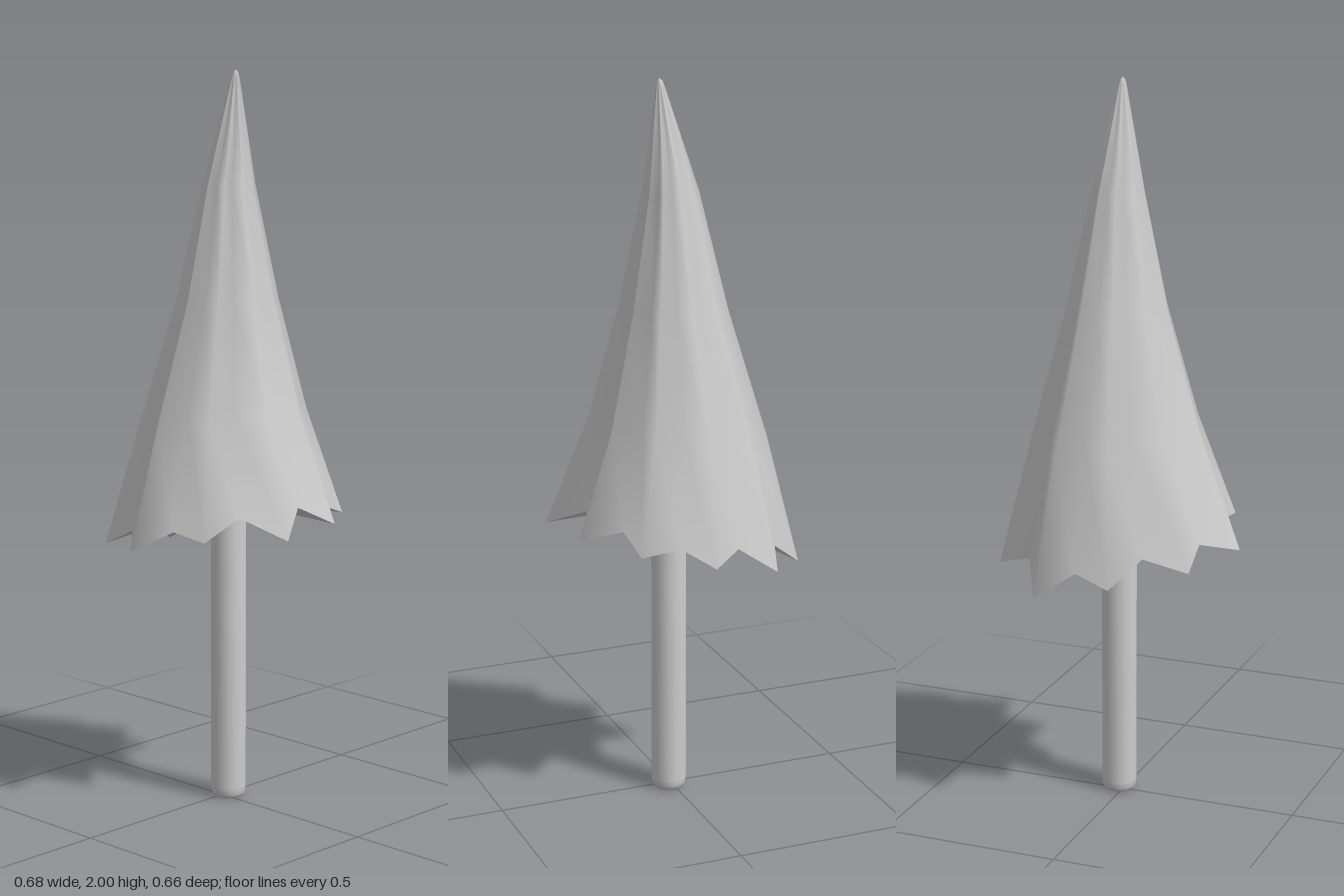
import * as THREE from 'three';

const material = new THREE.MeshStandardMaterial({ color: 0xcccccc });

// Hem of the foliage: ten points alternating with ten notches, as [x, y, z]
const HEM = [
  [0.34, 0.755, 0.005], [0.265, 0.795, 0.075], [0.277, 0.79, 0.192], [0.17, 0.83, 0.202],
  [0.117, 0.80, 0.307], [0.03, 0.85, 0.253], [-0.09, 0.79, 0.328], [-0.14, 0.84, 0.2],
  [-0.26, 0.79, 0.188], [-0.254, 0.80, 0.068], [-0.34, 0.75, -0.005], [-0.254, 0.78, -0.088],
  [-0.26, 0.73, -0.187], [-0.14, 0.765, -0.216], [-0.08, 0.70, -0.312], [0.024, 0.725, -0.283],
  [0.125, 0.66, -0.33], [0.177, 0.735, -0.235], [0.281, 0.70, -0.197], [0.267, 0.775, -0.088],
];
const HEM_Y = 0.76;

// Rings above the hem: [height, scale, centre x, centre z, share of the hem's tilt]
const RINGS = [
  [1.993, 0.02, 0.015, 0.035, 0],
  [1.978, 0.036, 0.015, 0.034, 0],
  [1.7, 0.22, 0.015, 0.007, 0],
  [1.39, 0.425, 0.015, 0, 0.12],
  [1.07, 0.7, 0.01, -0.012, 0.45],
  [HEM_Y, 1, 0, 0, 1],
];

function buildGeometry(points, index) {
  const g = new THREE.BufferGeometry();
  g.setAttribute('position', new THREE.Float32BufferAttribute(points.flat(), 3));
  g.setIndex(index);
  return g;
}

function addMesh(group, name, geometry) {
  const mesh = new THREE.Mesh(geometry, material);
  mesh.name = name;
  group.add(mesh);
  return mesh;
}

// Pleated cone: the star-shaped hem shrinks ring by ring towards the tip
function foliageGeometry() {
  const n = HEM.length;
  const points = [[0.015, 2, 0.036]];
  const index = [];
  for (const [y, s, cx, cz, tilt] of RINGS) {
    for (const [hx, hy, hz] of HEM) points.push([cx + hx * s, y + (hy - HEM_Y) * tilt, cz + hz * s]);
  }
  for (let i = 0; i < n; i++) {
    const j = (i + 1) % n;
    index.push(0, 1 + j, 1 + i);
    for (let r = 0; r < RINGS.length - 1; r++) {
      const a = 1 + r * n, b = a + n;
      index.push(a + i, a + j, b + i, a + j, b + j, b + i);
    }
  }
  const g = buildGeometry(points, index);
  g.computeVertexNormals();
  return g;
}

// Folded underside: a fan from the trunk out to the hem
function undersideGeometry() {
  const n = HEM.length;
  const index = [];
  for (let i = 0; i < n; i++) index.push(0, 1 + i, 1 + (i + 1) % n);
  const g = buildGeometry([[0.015, 0.84, 0.01], ...HEM], index).toNonIndexed();
  g.computeVertexNormals();
  return g;
}

// Straight trunk with a small bevel at the foot
function trunkGeometry() {
  const profile = [[0, 0], [0.04, 0], [0.047, 0.012], [0.048, 0.03], [0.048, 0.88], [0, 0.88]];
  return new THREE.LatheGeometry(profile.map(([r, y]) => new THREE.Vector2(r, y)), 16);
}

export function createModel() {
  const tree = new THREE.Group();
  tree.name = 'tree';
  addMesh(tree, 'foliage', foliageGeometry());
  addMesh(tree, 'foliageUnderside', undersideGeometry());
  addMesh(tree, 'trunk', trunkGeometry()).position.set(0.015, 0, 0.01);
  return tree;
}
